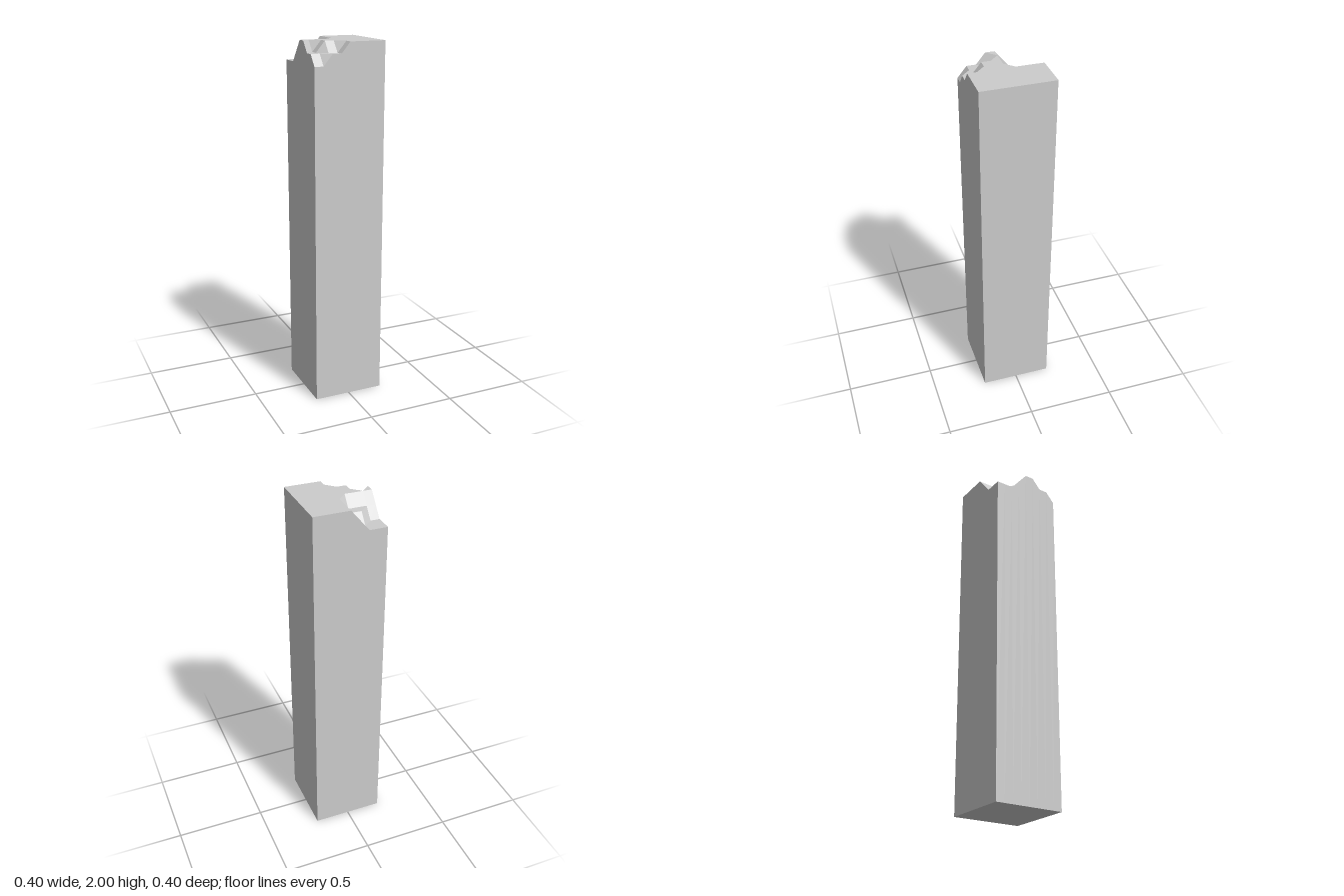
import * as THREE from 'three';

const STEP = 0.06; // height of one chipped layer
const xs = [-0.2, -0.15, -0.1, -0.05, 0, 0.2];
const zs = [-0.2, -0.15, -0.1, -0.05, 0, 0.05, 0.1, 0.15, 0.2];

// Layers broken away at each grid point: rows run back to front, columns along x
const chips = [
  '222100',
  '222100',
  '221100',
  '111100',
  '000000',
  '010000',
  '110000',
  '111100',
  '221100',
];

function pillarGeometry() {
  const positions = [];
  const depth = (i, k) => Number(chips[k][i]);
  const top = (i, k) => [xs[i], 2 - STEP * depth(i, k), zs[k]];
  const foot = (i, k) => [xs[i], 0, zs[k]];
  const tri = (a, b, c) => positions.push(...a, ...b, ...c);
  const quad = (a, b, c, d) => { tri(a, b, c); tri(a, c, d); };
  const nx = xs.length - 1, nz = zs.length - 1;

  // Chipped top: split each cell along its level diagonal
  for (let k = 0; k < nz; k++) {
    for (let i = 0; i < nx; i++) {
      const a = top(i, k), b = top(i, k + 1), c = top(i + 1, k + 1), d = top(i + 1, k);
      const ridge = i === 2 && k === 1; // crease running up the back hollow
      if (ridge || depth(i, k) === depth(i + 1, k + 1)) quad(a, b, c, d);
      else quad(b, c, d, a);
    }
  }

  // Side walls, from the foot up to the broken rim
  const wall = (p, q) => quad(foot(...p), foot(...q), top(...q), top(...p));
  for (let i = 0; i < nx; i++) {
    wall([i, nz], [i + 1, nz]);
    wall([i + 1, 0], [i, 0]);
  }
  for (let k = 0; k < nz; k++) {
    wall([nx, k + 1], [nx, k]);
    wall([0, k], [0, k + 1]);
  }

  // Underside
  quad(foot(0, 0), foot(nx, 0), foot(nx, nz), foot(0, nz));

  const geometry = new THREE.BufferGeometry();
  geometry.setAttribute('position', new THREE.Float32BufferAttribute(positions, 3));
  geometry.computeVertexNormals();
  return geometry;
}

export function createModel() {
  const group = new THREE.Group();
  group.name = 'brokenPillar';
  const material = new THREE.MeshStandardMaterial({ color: 0xcccccc, flatShading: true });
  const pillar = new THREE.Mesh(pillarGeometry(), material);
  pillar.name = 'chippedPillar';
  group.add(pillar);
  return group;
}
